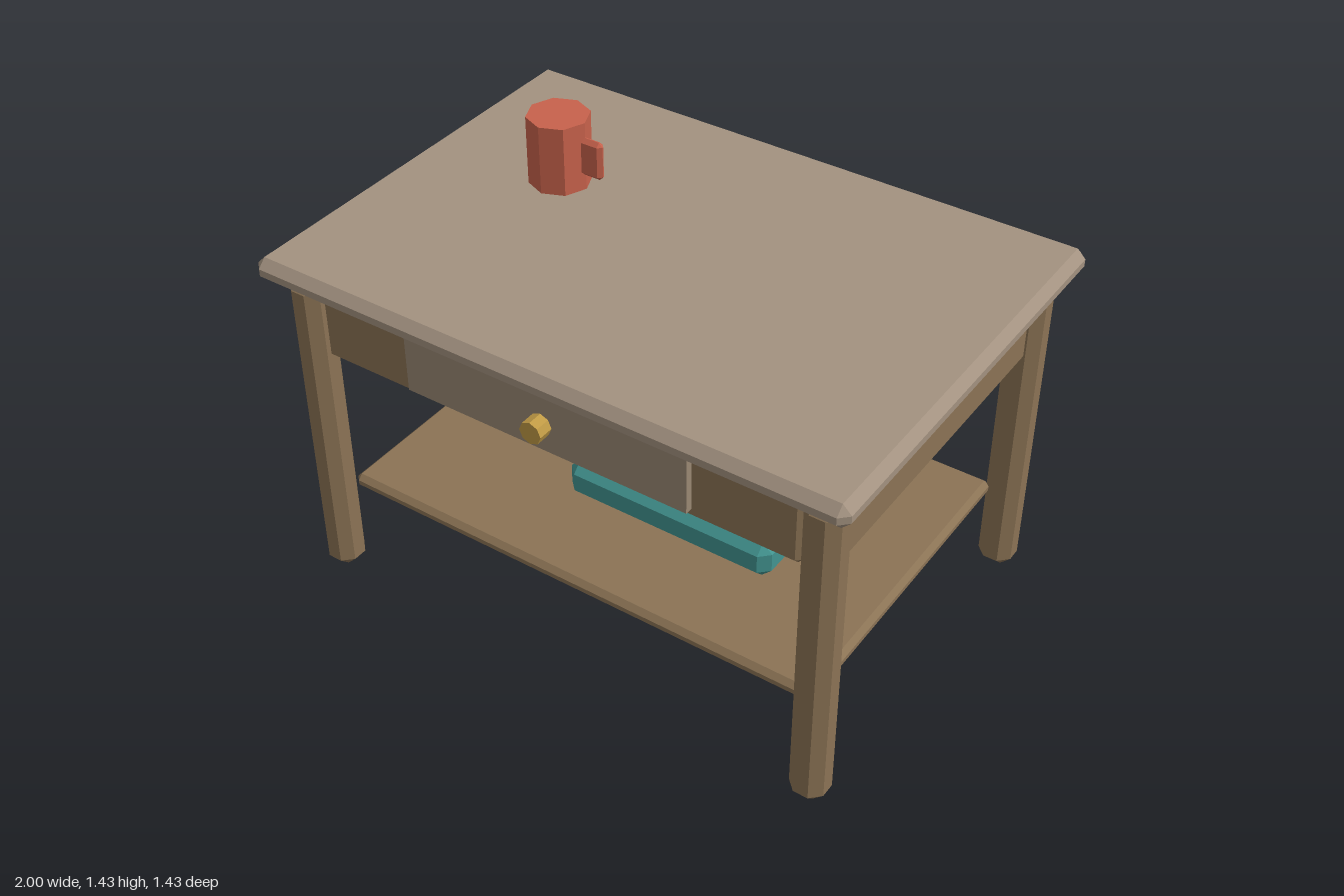
import * as THREE from 'three';
import { ConvexGeometry } from 'three/addons/geometries/ConvexGeometry.js';

const material = (color) => new THREE.MeshStandardMaterial({ color, flatShading: true });

// Box with every edge cut by a flat chamfer c; spans are [min, max]
function chamferBox(name, mat, [x0, x1], [y0, y1], [z0, z1], c) {
  const half = [(x1 - x0) / 2, (y1 - y0) / 2, (z1 - z0) / 2];
  const points = [];
  for (const sx of [-1, 1]) for (const sy of [-1, 1]) for (const sz of [-1, 1]) {
    const signs = [sx, sy, sz];
    // each corner becomes three points, one on each neighbouring face
    for (let face = 0; face < 3; face++) {
      points.push(new THREE.Vector3(...signs.map((s, i) => s * (half[i] - (i === face ? 0 : c)))));
    }
  }
  const mesh = new THREE.Mesh(new ConvexGeometry(points), mat);
  mesh.position.set((x0 + x1) / 2, (y0 + y1) / 2, (z0 + z1) / 2);
  mesh.name = name;
  return mesh;
}

const around = (centre, size) => [centre - size / 2, centre + size / 2];

export function createModel() {
  const table = new THREE.Group();
  table.name = 'coffeeTable';

  const topWood = material(0xa39280);
  const wood = material(0x8b7355);
  const drawerWood = material(0x9a8873);
  const brass = material(0xc09a45);
  const red = material(0xc8624c);
  const teal = material(0x429490);

  const legX = 0.887, legZ = 0.6, legWidth = 0.115;

  // Tabletop and lower shelf
  table.add(chamferBox('tabletop', topWood, [-1, 1], [1.12, 1.2], [-0.713, 0.713], 0.028));
  table.add(chamferBox('shelf', wood, [-0.85, 0.85], [0.29, 0.34], [-0.56, 0.56], 0.017));

  // Four legs, with the aprons between them
  for (const s of [-1, 1]) {
    const side = s > 0 ? 'left' : 'right';
    const end = s > 0 ? 'front' : 'back';
    for (const t of [-1, 1]) {
      table.add(chamferBox(`${side}${t > 0 ? 'Front' : 'Back'}Leg`, wood,
        around(s * legX, legWidth), [0, 1.12], around(t * legZ, legWidth), 0.033));
    }
    table.add(chamferBox(`${side}Apron`, wood, around(s * legX, 0.05), [0.86, 1.12], [-0.545, 0.545], 0.019));
    table.add(chamferBox(`${end}Apron`, wood, [-0.83, 0.83], [0.86, 1.12], around(s * legZ, 0.05), 0.019));
  }

  // Drawer front set through the front apron
  const drawer = new THREE.Mesh(new THREE.BoxGeometry(0.97, 0.2, 0.1), drawerWood);
  drawer.position.set(0, 1, 0.6);
  drawer.name = 'drawerFront';
  table.add(drawer);

  // Drawer knob
  const knob = new THREE.Mesh(new THREE.CylinderGeometry(0.037, 0.037, 0.07, 8), brass);
  knob.rotation.x = Math.PI / 2;
  knob.position.set(0, 0.99, 0.665);
  knob.name = 'drawerKnob';
  table.add(knob);

  // Mug with a block handle
  const mug = new THREE.Group();
  mug.name = 'mug';
  const body = new THREE.Mesh(new THREE.CylinderGeometry(0.1, 0.1, 0.23, 8), red);
  body.position.set(-0.515, 1.315, -0.145);
  body.name = 'mugBody';
  mug.add(body, chamferBox('mugHandle', red, [-0.45, -0.35], [1.25, 1.38], around(-0.145, 0.03), 0.013));
  table.add(mug);

  // Book lying on the shelf
  table.add(chamferBox('book', teal, [-0.23, 0.51], [0.34, 0.47], [-0.257, 0.257], 0.033));

  return table;
}
